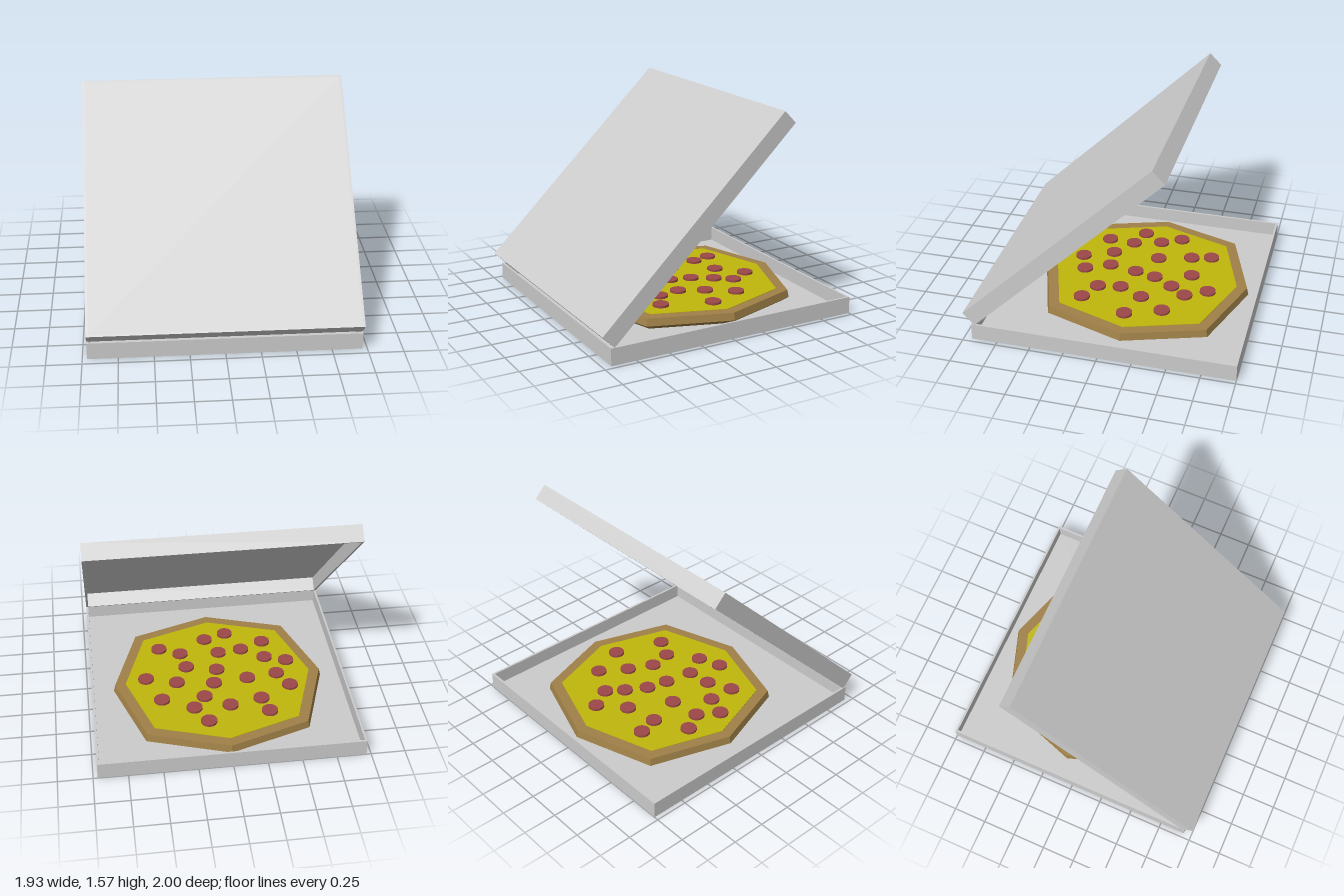
import * as THREE from 'three';

const WIDTH = 1.934, DEPTH = 1.94, HEIGHT = 0.125, WALL = 0.016;

const paint = (color) => new THREE.MeshStandardMaterial({ color, flatShading: true });
const card = paint(0xcccccc);

function addMesh(parent, name, geometry, material) {
  const mesh = new THREE.Mesh(geometry, material);
  mesh.name = name;
  parent.add(mesh);
  return mesh;
}

function rectangle(PathType, w, d) {
  const x = w / 2, y = d / 2;
  return new PathType([[-x, -y], [x, -y], [x, y], [-x, y]].map(([a, b]) => new THREE.Vector2(a, b)));
}

// Shallow open tray: bottom at y = 0, back edge at z = -DEPTH, front edge at z = 0
function makeTray(name) {
  const tray = new THREE.Group();
  tray.name = name;
  const frame = rectangle(THREE.Shape, WIDTH, DEPTH);
  frame.holes.push(rectangle(THREE.Path, WIDTH - 2 * WALL, DEPTH - 2 * WALL));
  const walls = new THREE.ExtrudeGeometry(frame, { depth: HEIGHT, bevelEnabled: false });
  walls.rotateX(-Math.PI / 2).translate(0, 0, -DEPTH / 2);
  addMesh(tray, name + 'Walls', walls, card);
  const panel = new THREE.BoxGeometry(WIDTH - 2 * WALL, WALL, DEPTH - 2 * WALL);
  addMesh(tray, name + 'Panel', panel.translate(0, WALL / 2, -DEPTH / 2), card);
  return tray;
}

// Eight-sided disc from a [radius, y] profile; the diagonal corners reach further out
function octagonDisc(profile) {
  const geometry = new THREE.LatheGeometry(profile.map(([r, y]) => new THREE.Vector2(r, y)), 8);
  const pos = geometry.attributes.position;
  for (let i = 0; i < pos.count; i++) {
    const x = pos.getX(i), z = pos.getZ(i);
    const onDiagonal = Math.abs(x * z) > 0.01;
    const scale = onDiagonal ? 0.849 : 0.8;
    pos.setXYZ(i, x * scale, pos.getY(i), z * scale);
  }
  geometry.computeVertexNormals();
  return geometry;
}

export function createModel() {
  const model = new THREE.Group();
  model.name = 'pizzaBox';

  // Base tray
  const base = makeTray('base');
  base.position.z = 0.94;
  model.add(base);

  // Lid: the same tray upside down, swung open on the front edge
  const lid = new THREE.Group();
  lid.name = 'lid';
  const lidTray = makeTray('lidTray');
  lidTray.rotation.z = Math.PI;
  lidTray.position.y = HEIGHT;
  lid.add(lidTray);
  lid.position.set(0, HEIGHT, 0.913);
  lid.rotation.x = 0.774;
  model.add(lid);

  // Pizza
  const pizza = new THREE.Group();
  pizza.name = 'pizza';
  pizza.position.z = -0.12;
  model.add(pizza);
  addMesh(pizza, 'crust', octagonDisc(
    [[0, 0.017], [0.93, 0.017], [1, 0.055], [0.985, 0.11], [0, 0.11]]), paint(0x9f8047));
  addMesh(pizza, 'cheese', octagonDisc(
    [[0.885, 0.105], [0.885, 0.113], [0, 0.113]]), paint(0xc0b70c));

  // Pepperoni slices: [x, z]
  const spots = [
    [0.42, 0.27], [0.26, 0.19], [0.05, 0.35], [-0.12, 0.41], [0.55, -0.09], [0.23, 0.02],
    [-0.04, 0.17], [0.32, -0.16], [-0.22, 0.19], [-0.4, 0.27], [0.45, -0.35], [0, -0.04],
    [0.04, -0.2], [0.13, -0.35], [-0.39, 0.07], [0.22, -0.47], [-0.22, -0.17], [-0.55, 0.01],
    [-0.45, -0.14], [0.13, -0.63], [-0.05, -0.47], [-0.29, -0.42], [-0.53, -0.29], [-0.33, -0.57],
  ];
  const slice = new THREE.CylinderGeometry(0.06, 0.06, 0.025, 24);
  const meat = new THREE.MeshStandardMaterial({ color: 0x9c4848 });
  for (const [x, z] of spots) {
    addMesh(pizza, 'pepperoni', slice, meat).position.set(x, 0.1175, z + 0.12);
  }

  return model;
}
